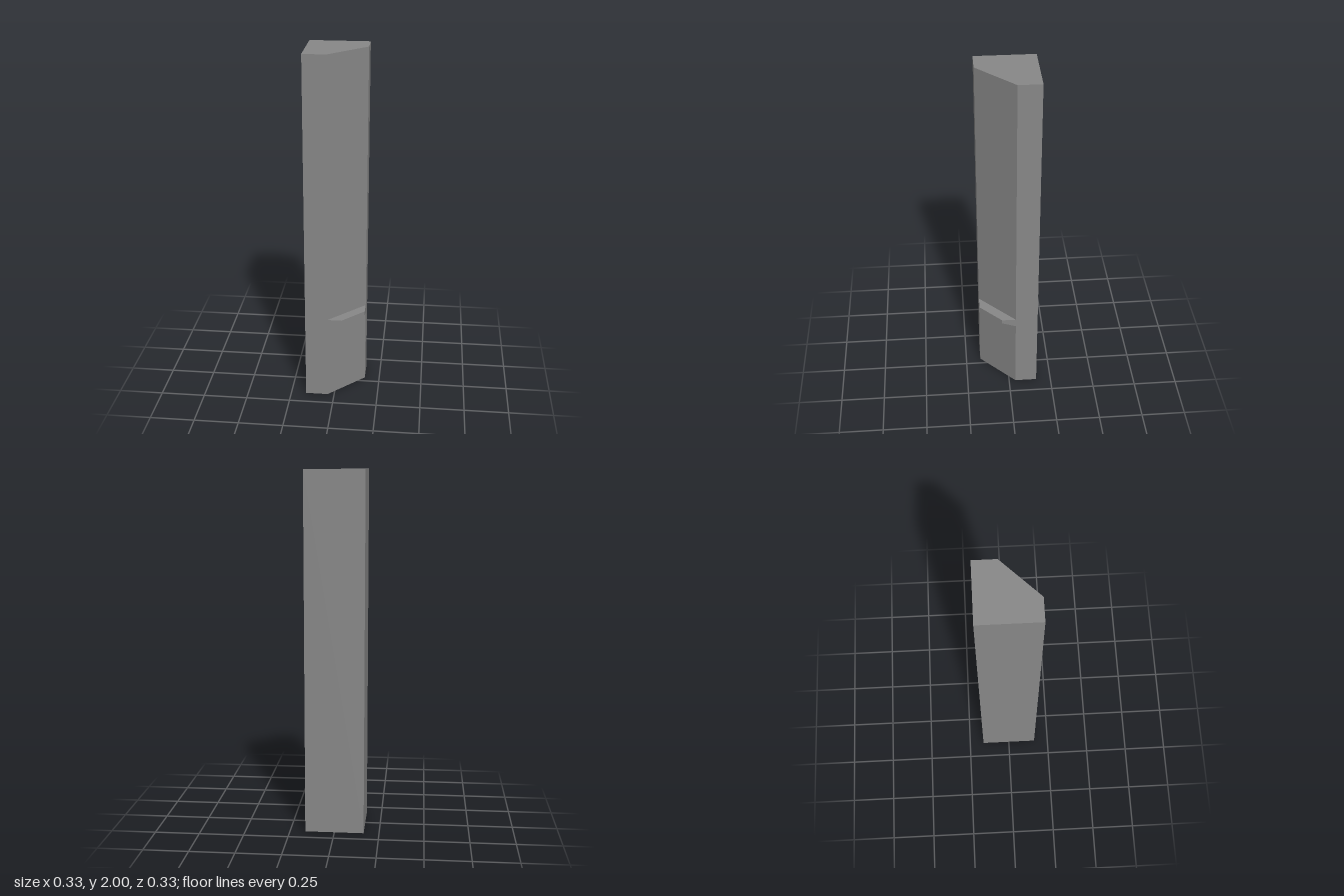
import * as THREE from 'three';

const HALF = 0.164;   // half width of the square post
const INNER = -0.038; // where the corner chamfer meets the sides
const OUTER = 0.041;  // where the ledge's front face meets the sides

const material = new THREE.MeshStandardMaterial({ color: 0x878787, flatShading: true });

// Upright prism from an [x, z] outline, between two heights
function prism(outline, y0, y1) {
  const shape = new THREE.Shape(outline.map(([x, z]) => new THREE.Vector2(x, -z)));
  const geometry = new THREE.ExtrudeGeometry(shape, { depth: y1 - y0, bevelEnabled: false });
  return geometry.rotateX(-Math.PI / 2).translate(0, y0, 0);
}

function addPart(group, name, geometry) {
  const mesh = new THREE.Mesh(geometry, material);
  mesh.name = name;
  group.add(mesh);
}

export function createModel() {
  const group = new THREE.Group();
  group.name = 'chamferedPost';

  // Square post with one front corner cut off
  addPart(group, 'post', prism([
    [-HALF, -HALF], [-HALF, HALF], [INNER, HALF], [HALF, INNER], [HALF, -HALF],
  ], 0, 2));

  // Small ledge across the chamfer, flush with the post's sides
  const bottom = 0.44, top = 0.49, lipBottom = 0.467;
  const ledge = prism([
    [INNER, HALF], [OUTER, HALF], [HALF, OUTER], [HALF, INNER],
  ], bottom, top);

  // Slope the underside up towards the outer lip
  const p = ledge.attributes.position;
  for (let i = 0; i < p.count; i++) {
    const isOuter = p.getX(i) + p.getZ(i) > HALF + (INNER + OUTER) / 2;
    if (isOuter && p.getY(i) < lipBottom) p.setY(i, lipBottom);
  }
  ledge.computeVertexNormals();
  addPart(group, 'ledge', ledge);

  return group;
}
